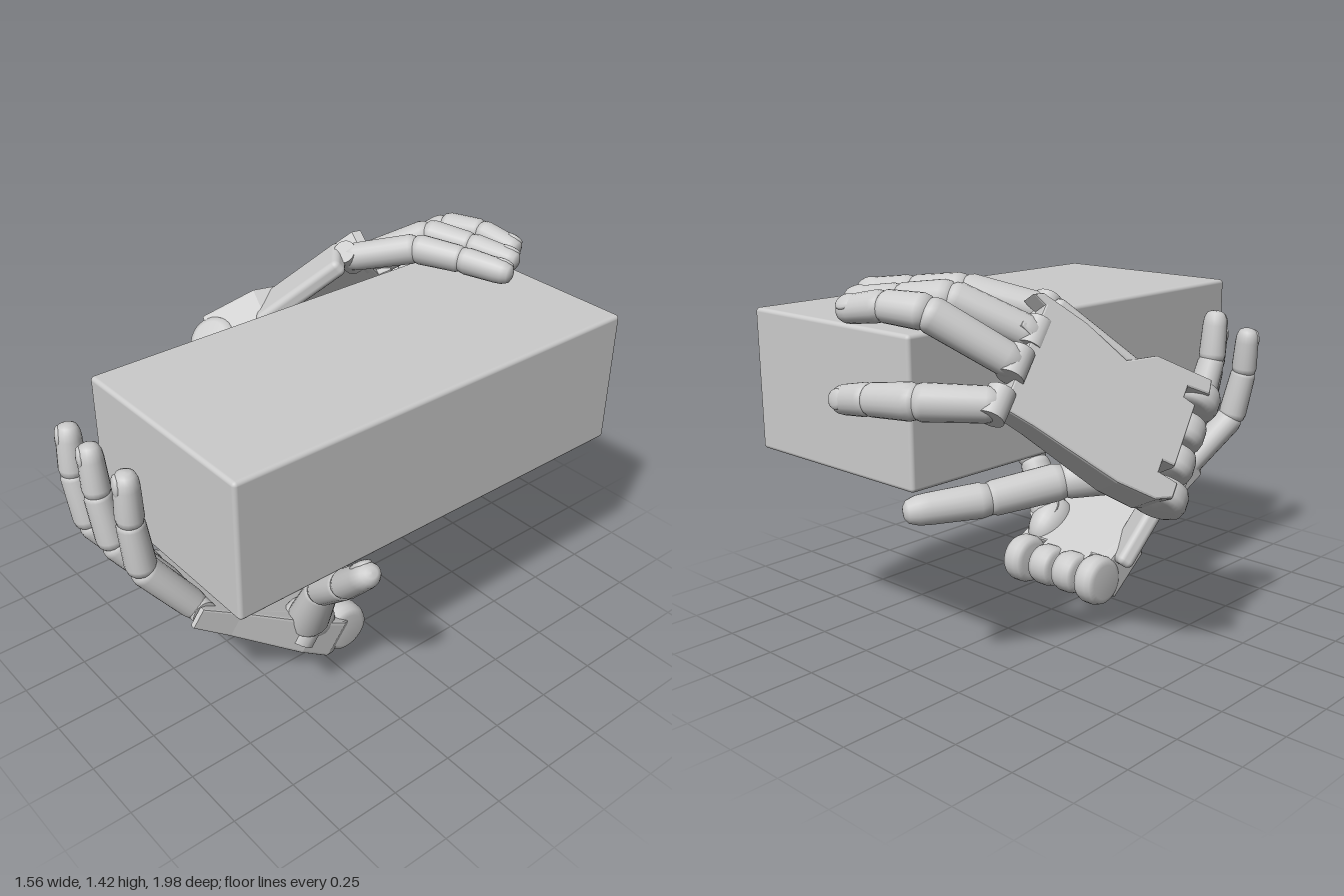
import * as THREE from 'three';
import { RoundedBoxGeometry } from 'three/addons/geometries/RoundedBoxGeometry.js';

const V = (a) => new THREE.Vector3(...a);
const material = new THREE.MeshStandardMaterial({ color: 0xcccccc });
const UP = new THREE.Vector3(0, 1, 0);

function add(parent, name, geometry) {
  const mesh = new THREE.Mesh(geometry, material);
  mesh.name = name;
  parent.add(mesh);
  return mesh;
}

const lathe = (profile, sides) =>
  new THREE.LatheGeometry(profile.map((p) => new THREE.Vector2(...p)), sides);

const orient = (mesh, x, y, z) =>
  mesh.quaternion.setFromRotationMatrix(new THREE.Matrix4().makeBasis(x, y, z));

// One tapered phalanx of the given length along +y; a tip gets a domed end
function phalanx(len, r1, r2, tip) {
  const end = tip
    ? [[r2, len * 0.7], [r2 * 0.93, len * 0.84], [r2 * 0.72, len * 0.95], [r2 * 0.4, len * 0.99], [0, len]]
    : [[r2, len * 0.93], [r2 * 0.9, len], [r2 * 0.5, len + r2 * 0.4], [0, len + r2 * 0.5]];
  return lathe([[0, -r1 * 0.4], [r1 * 0.55, -r1 * 0.3], [r1 * 0.9, 0], [r1, len * 0.12], ...end], 20);
}

// Three phalanges, a hinge pin at the base and a nail on the outer side of the tip
function digit(parent, name, pts, radii, axis) {
  const group = new THREE.Group();
  group.name = name;
  parent.add(group);
  const p = pts.map(V);
  const dirs = [0, 1, 2].map((i) => p[i + 1].clone().sub(p[i]).normalize());
  const bend = dirs[0].clone().sub(dirs[2]);

  ['proximal', 'middle', 'distal'].forEach((n, i) => {
    const dir = dirs[i];
    const len = p[i].distanceTo(p[i + 1]);
    const out = bend.clone().addScaledVector(dir, -bend.dot(dir)).normalize();
    const side = dir.clone().cross(out);
    const bone = add(group, n + 'Phalanx', phalanx(len, radii[i], radii[i + 1], i === 2));
    bone.position.copy(p[i]);
    bone.scale.z = 0.9;
    orient(bone, side, dir, out);
    if (i < 2) return;
    const nail = add(group, 'nail', new THREE.SphereGeometry(1, 14, 10));
    nail.scale.set(radii[3] * 0.68, len * 0.22, radii[3] * 0.28);
    orient(nail, side, dir, out);
    nail.position.copy(p[2]).addScaledVector(dir, len * 0.74).addScaledVector(out, radii[3] * 0.68);
  });

  const pin = add(group, 'hinge', new THREE.CylinderGeometry(radii[0] * 0.8, radii[0] * 0.8, radii[0] * 1.8, 18));
  pin.position.copy(p[0]);
  pin.quaternion.setFromUnitVectors(UP, axis);
}

// Palm outline: x towards the index side, y from wrist to knuckles
const PALM = [
  [-0.24, -0.03], [-0.18, -0.04], [-0.17, 0.05], [-0.13, 0.05], [-0.12, 0.0], [0.13, 0.0],
  [0.13, 0.05], [0.17, 0.05], [0.18, -0.03], [0.24, -0.03], [0.27, 0.03], [0.27, 0.18],
  [0.21, 0.52], [0.19, 0.69], [0.17, 0.69], [0.15, 0.64], [0.06, 0.64], [0.04, 0.69],
  [0.02, 0.69], [0.0, 0.64], [-0.08, 0.64], [-0.1, 0.69], [-0.12, 0.69], [-0.14, 0.64],
  [-0.21, 0.64], [-0.23, 0.69], [-0.25, 0.66], [-0.22, 0.48], [-0.16, 0.3], [-0.23, 0.2],
];

function createHand(name, o) {
  const hand = new THREE.Group();
  hand.name = name;
  const s = o.side;
  const along = V(o.along).normalize();
  const inward = V(o.across).cross(along).normalize();
  const across = along.clone().cross(inward);

  // Palm frame: x across, y along, z towards the gripped object
  const palm = new THREE.Group();
  palm.name = 'palm';
  palm.position.set(...o.origin);
  orient(palm, across, along, inward);
  hand.add(palm);

  // Palm plate, thinning from the wrist to the knuckles
  const shape = new THREE.Shape(PALM.map(([x, y]) => new THREE.Vector2(s * (x + o.lean * y), y)));
  const plate = new THREE.ExtrudeGeometry(shape, {
    depth: 0.12, bevelThickness: 0.012, bevelSize: 0.008, bevelOffset: -0.008, bevelSegments: 2,
  });
  const pos = plate.attributes.position;
  for (let i = 0; i < pos.count; i++) {
    const k = THREE.MathUtils.clamp(pos.getY(i) / 0.69, 0, 1);
    pos.setZ(i, (pos.getZ(i) + 0.012) * (1.1 - 0.55 * k));
  }
  plate.computeVertexNormals();
  add(palm, 'palmPlate', plate);

  // Wrist lobes with rounded rims and slots between them
  [[-0.2, 0.1, 0.1], [-0.065, 0.11, 0.085], [0.065, 0.11, 0.085], [0.2, 0.1, 0.1]].forEach(([x, w, r]) => {
    const h = w / 2;
    const rim = [[0, -h], [r * 0.7, -h], [r * 0.92, -h * 0.8], [r, -h * 0.4]];
    const profile = [...rim, ...rim.map(([a, b]) => [a, -b]).reverse()];
    const lobe = add(palm, 'wristLobe', lathe(profile, 28));
    lobe.rotation.z = Math.PI / 2;
    lobe.position.set(s * x, -0.035, 0.113);
  });

  // Thumb mount on the index side
  const mount = add(palm, 'thumbMount', new THREE.SphereGeometry(1, 20, 14));
  mount.scale.set(0.08, 0.12, 0.09);
  mount.position.set(s * 0.2, 0.16, 0.12);

  // Hinged side plate that carries the little finger
  const [a, b, wide] = o.flank.map(V);
  const dir = b.clone().sub(a);
  const len = dir.length();
  dir.normalize();
  wide.addScaledVector(dir, -wide.dot(dir)).normalize();
  const flank = add(hand, 'sidePlate', new RoundedBoxGeometry(0.18, len + 0.06, 0.07, 3, 0.025));
  orient(flank, wide, dir, wide.clone().cross(dir));
  flank.position.copy(a).lerp(b, 0.5);

  ['indexFinger', 'middleFinger', 'ringFinger', 'littleFinger'].forEach((n, i) =>
    digit(hand, n, o.fingers[i], [0.06, 0.063, 0.057, 0.052], across));
  digit(hand, 'thumb', o.thumb, [0.085, 0.066, 0.062, 0.055], inward);
  return hand;
}

export function createModel() {
  const model = new THREE.Group();
  model.name = 'handsHoldingBox';

  add(model, 'box', new RoundedBoxGeometry(0.83, 0.525, 1.74, 3, 0.015)).position.set(0.235, 0.982, 0);

  model.add(createHand('lowerHand', {
    side: -1, lean: 0,
    origin: [0.09, 0.02, 0.25], across: [-1, 0.04, 0], along: [0, 0.576, 0.817],
    flank: [[-0.14, 0.17, 0.27], [-0.2, 0.44, 0.46], [-1, 0.57, -0.4]],
    fingers: [
      [[0.2, 0.43, 0.75], [0.14, 0.65, 0.92], [0.13, 0.85, 0.94], [0.13, 1.05, 0.94]],
      [[0.05, 0.43, 0.75], [-0.05, 0.65, 0.92], [-0.085, 0.85, 0.94], [-0.11, 1.04, 0.94]],
      [[-0.09, 0.43, 0.75], [-0.21, 0.65, 0.92], [-0.25, 0.85, 0.94], [-0.27, 1.04, 0.93]],
      [[-0.22, 0.48, 0.48], [-0.24, 0.74, 0.62], [-0.25, 0.94, 0.7], [-0.25, 1.14, 0.72]],
    ],
    thumb: [[0.31, 0.21, 0.34], [0.43, 0.45, 0.36], [0.59, 0.59, 0.39], [0.76, 0.76, 0.42]],
  }));

  model.add(createHand('upperHand', {
    side: 1, lean: 0.12,
    origin: [-0.72, 0.87, -0.11], across: [-0.226, -0.739, -0.636], along: [0.475, 0.55, -0.68],
    flank: [[-0.52, 1.05, -0.12], [-0.32, 1.28, -0.32], [0.05, -0.1, 0.18]],
    fingers: [
      [[-0.44, 1.04, -0.74], [-0.26, 1.05, -0.91], [-0.06, 1.03, -0.935], [0.12, 1.0, -0.93]],
      [[-0.42, 1.15, -0.63], [-0.23, 1.32, -0.83], [-0.08, 1.33, -0.88], [0.1, 1.3, -0.91]],
      [[-0.38, 1.22, -0.5], [-0.18, 1.345, -0.68], [-0.01, 1.33, -0.75], [0.19, 1.31, -0.81]],
      [[-0.31, 1.28, -0.38], [-0.1, 1.345, -0.54], [0.07, 1.335, -0.62], [0.27, 1.32, -0.69]],
    ],
    thumb: [[-0.56, 0.74, -0.2], [-0.4, 0.7, -0.38], [-0.28, 0.665, -0.62], [-0.14, 0.65, -0.88]],
  }));

  return model;
}
